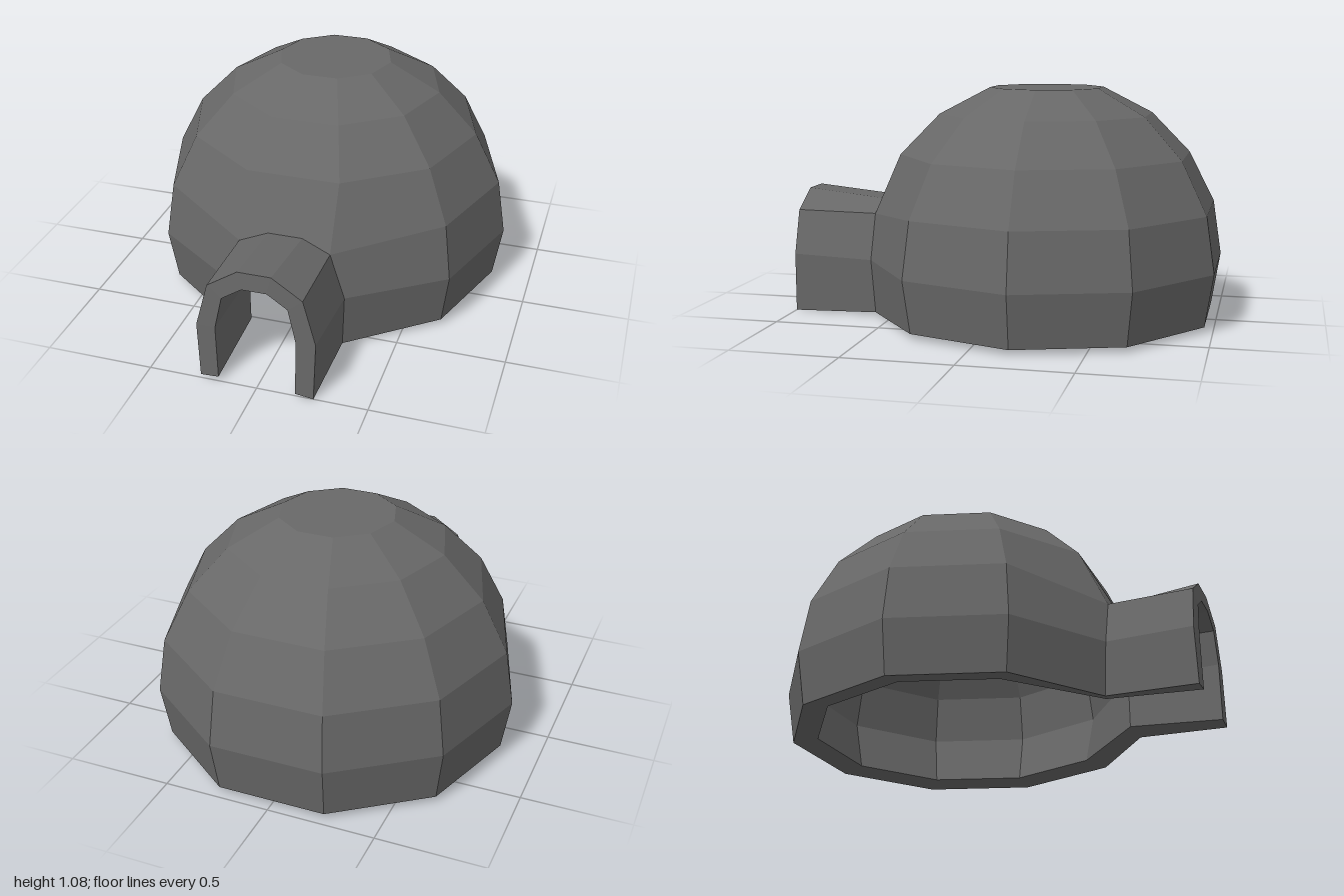
import * as THREE from 'three';

const SIDES = 10, CENTRE_Z = -0.185, HALF = Math.PI / SIDES;

// Wall profiles [radius, y], from the ground up
const OUTER = [[0.817, 0.025], [0.858, 0.27], [0.817, 0.53], [0.693, 0.77], [0.507, 0.96], [0.27, 1.083]];
const INNER = [[0.7, 0.042], [0.75, 0.27], [0.717, 0.497], [0.605, 0.712], [0.44, 0.88], [0.243, 0.987]];

// Arch section: a +x half of [x, y, z] from the foot to the top, then its mirror
function arch(half, leftFootY) {
  const left = half.map(([x, y, z], i) => [-x, i === 0 ? leftFootY : y, z]).reverse();
  return [...half, ...left];
}

// Tunnel sections: outer root, outer mouth, inner mouth, inner root
const OUTER_ROOT = arch([[0.268, 0.012, 0.592], [0.28, 0.268, 0.608], [0.212, 0.482, 0.605], [0.08, 0.535, 0.592]], 0.02);
const OUTER_MOUTH = arch([[0.258, 0, 1], [0.268, 0.28, 0.996], [0.212, 0.487, 0.993], [0.075, 0.576, 0.99]], 0.018);
const INNER_MOUTH = arch([[0.176, 0.01, 1], [0.181, 0.28, 1], [0.147, 0.435, 0.997], [0.056, 0.495, 0.995]], 0.022);
const INNER_ROOT = arch([[0.18, 0.038, 0.57], [0.182, 0.27, 0.57], [0.152, 0.44, 0.56], [0.058, 0.468, 0.55]], 0.042);

// Dome corners as columns; the three lowest beside the entrance meet the tunnel root
function domeColumns(profile, root) {
  return Array.from({ length: SIDES }, (_, k) => profile.map(([r, y], i) => {
    if (i < 3 && k === 0) return root[i];
    if (i < 3 && k === SIDES - 1) return root[7 - i];
    const a = HALF + k * 2 * HALF;
    return [r * Math.sin(a), y, CENTRE_Z + r * Math.cos(a)];
  }));
}

// Collects faces into one mesh, each face with a single normal so that bent quads stay even
function faceMesh(name, material, build) {
  const positions = [], normals = [];
  const face = (...pts) => {
    const v = pts.map((p) => new THREE.Vector3(...p));
    const normal = new THREE.Vector3();
    v.forEach((p, i) => normal.add(p.clone().cross(v[(i + 1) % v.length])));
    normal.normalize();
    for (let i = 1; i < pts.length - 1; i++) {
      positions.push(...pts[0], ...pts[i], ...pts[i + 1]);
      for (let c = 0; c < 3; c++) normals.push(...normal.toArray());
    }
  };
  build(face);
  const geometry = new THREE.BufferGeometry();
  geometry.setAttribute('position', new THREE.Float32BufferAttribute(positions, 3));
  geometry.setAttribute('normal', new THREE.Float32BufferAttribute(normals, 3));
  const mesh = new THREE.Mesh(geometry, material);
  mesh.name = name;
  return mesh;
}

// One dome skin, given through a face function that sets which way it looks
function skin(columns, root, face) {
  columns.forEach((a, k) => {
    const b = columns[(k + 1) % SIDES];
    const front = k === SIDES - 1;
    for (let i = front ? 3 : 0; i < a.length - 1; i++) face(a[i], b[i], b[i + 1], a[i + 1]);
    // Panel above the entrance, cut to the arch
    if (front) face(a[3], root[5], root[4], root[3], root[2], b[3]);
  });
  face(...columns.map((c) => c[c.length - 1]));
}

// Hollow dome: outer skin, inner skin and the sloping rim on the ground
function domeFaces(face) {
  const outer = domeColumns(OUTER, OUTER_ROOT);
  const inner = domeColumns(INNER, INNER_ROOT);
  skin(outer, OUTER_ROOT, face);
  skin(inner, INNER_ROOT, (...pts) => face(...pts.reverse()));
  for (let k = 0; k < SIDES - 1; k++) face(outer[k][0], inner[k][0], inner[k + 1][0], outer[k + 1][0]);
}

// Entrance tunnel: one loft out to the mouth and back inside, plus the feet
function tunnelFaces(face) {
  const sections = [OUTER_ROOT, OUTER_MOUTH, INNER_MOUTH, INNER_ROOT];
  for (let s = 0; s < sections.length - 1; s++) {
    const a = sections[s], b = sections[s + 1];
    for (let j = 0; j < a.length - 1; j++) face(a[j], a[j + 1], b[j + 1], b[j]);
  }
  face(...sections.map((s) => s[0]));
  face(...sections.map((s) => s[7]).reverse());
}

export function createModel() {
  const material = new THREE.MeshStandardMaterial({ color: 0x686868 });
  const group = new THREE.Group();
  group.name = 'igloo';
  group.add(faceMesh('dome', material, domeFaces));
  group.add(faceMesh('entranceTunnel', material, tunnelFaces));
  return group;
}
